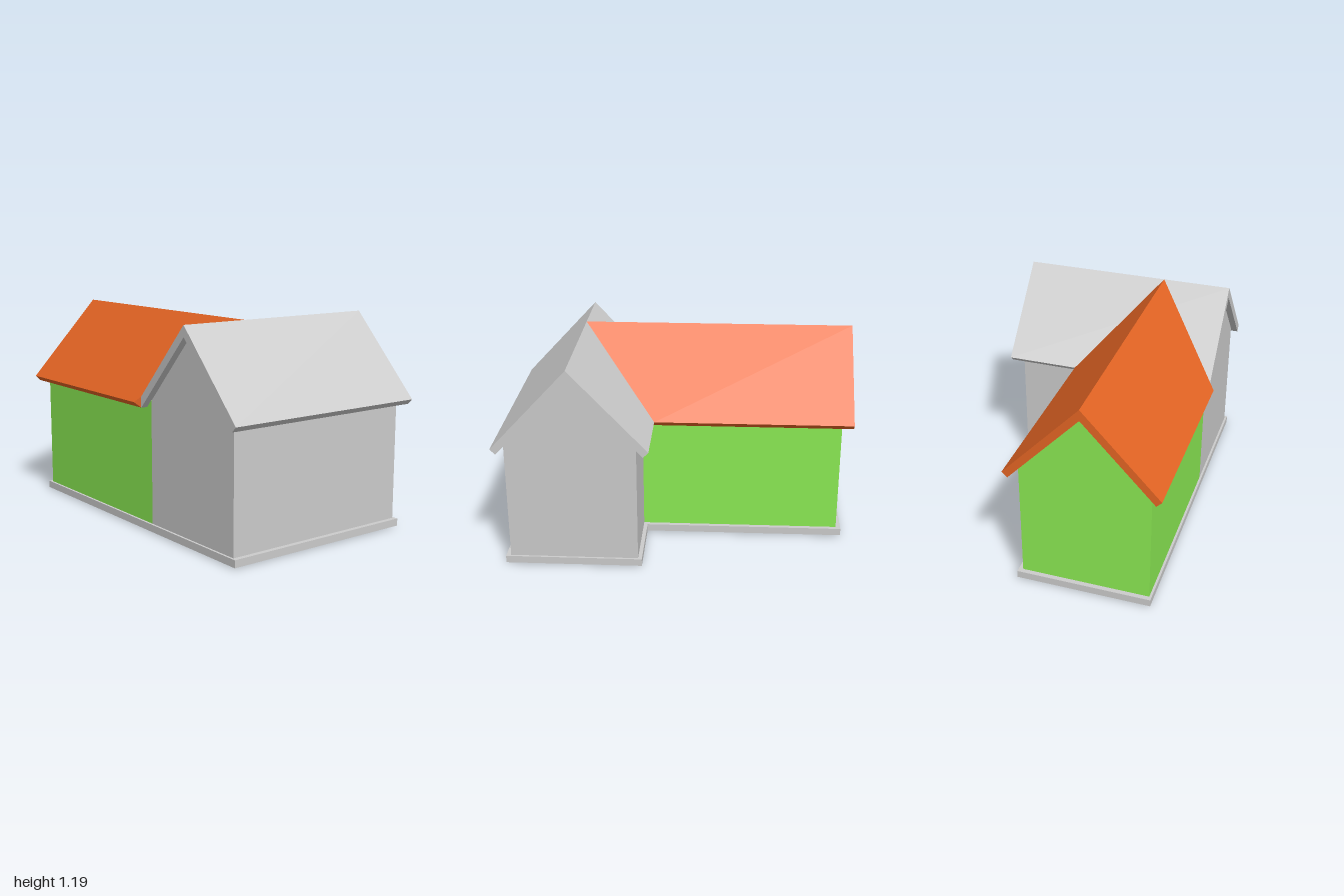
import * as THREE from 'three';

const GREY = 0xcccccc, GREEN = 0x8bea53, ORANGE = 0xe56524;

function material(color) {
  return new THREE.MeshStandardMaterial({ color, flatShading: true });
}

// Extrudes a cross-section from a to b along its length
function prism(points, a, b) {
  const shape = new THREE.Shape(points.map(([x, y]) => new THREE.Vector2(x, y)));
  return new THREE.ExtrudeGeometry(shape, { depth: b - a, bevelEnabled: false }).translate(0, 0, a);
}

// Gabled wall outline, from base height y
const gable = y => [[-0.363, y], [0.363, y], [0.363, 0.744], [0, 1.131], [-0.363, 0.744]];

// Pitched roof section with eaves cut square to the slope
const chevron = [[-0.4, 0.705], [0, 1.131], [0.4, 0.705], [0.43, 0.735], [0, 1.194], [-0.43, 0.735]];

export function createModel() {
  const model = new THREE.Group();
  const add = (name, geometry, color) => {
    const mesh = new THREE.Mesh(geometry, material(color));
    mesh.name = name;
    model.add(mesh);
  };
  const ridgeZ = 0.57, ridgeX = -0.212;
  const frontZ = 0.575;

  // Front wing, ridge running along x
  add('frontWalls', prism(gable(0), -0.575, 0.575).rotateY(Math.PI / 2).translate(0, 0, frontZ), GREY);
  add('frontRoof', prism(chevron, -0.613, 0.635).rotateY(Math.PI / 2).translate(0, 0, ridgeZ), GREY);

  // Rear wing, ridge running along z
  add('rearWalls', prism(gable(0.003), -0.938, 0.212).translate(ridgeX, 0, 0), GREEN);

  // Rear roof, its front end mitred into the valleys of the front roof
  const roof = prism(chevron, -1, ridgeZ);
  const p = roof.attributes.position;
  for (let i = 0; i < p.count; i++) {
    if (p.getZ(i) > 0) p.setZ(i, ridgeZ - Math.abs(p.getX(i)));
  }
  roof.computeVertexNormals();
  add('rearRoof', roof.translate(ridgeX, 0, 0), ORANGE);

  // Plinth strips around both wings, left open underneath the floors
  const plinth = (name, x0, x1, z0, z1) => {
    const g = new THREE.BoxGeometry(x1 - x0, 0.042, z1 - z0);
    add(name, g.translate((x0 + x1) / 2, 0.027, (z0 + z1) / 2), GREY);
  };
  plinth('frontPlinth', -0.588, 0.588, 0.19, 0.965);
  plinth('rearPlinth', -0.588, 0.176, -0.965, 0.19);

  return model;
}
